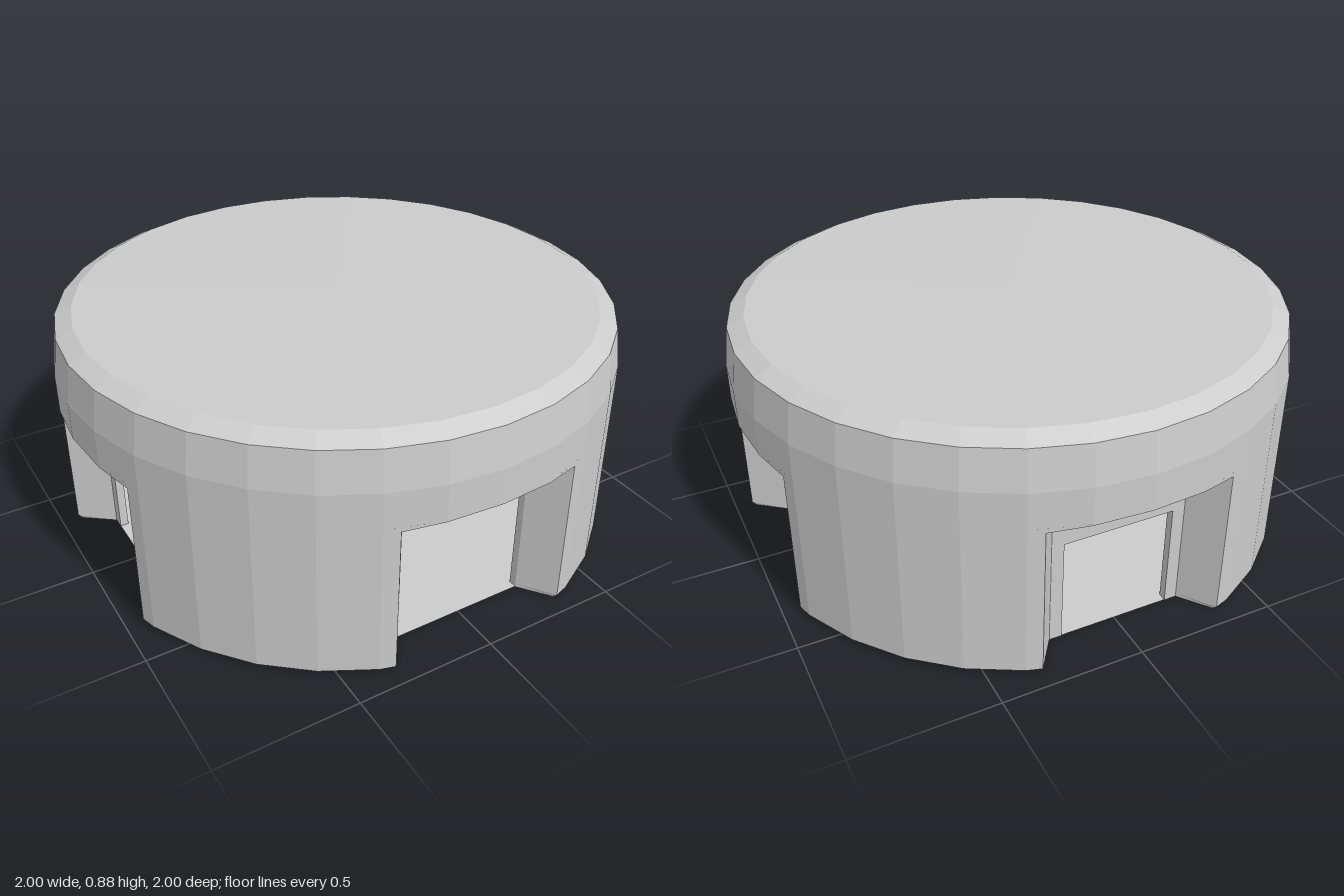
import * as THREE from 'three';

const SIDES = 32, NOTCH_TOP = 0.57, CEILING = 0.52;

export function createModel() {
  const group = new THREE.Group();
  const material = new THREE.MeshStandardMaterial({ color: 0xcccccc, flatShading: true });
  const thin = material.clone();
  thin.side = THREE.DoubleSide;

  const add = (name, geometry, mat = material, turn = 0) => {
    const mesh = new THREE.Mesh(geometry, mat);
    mesh.name = name;
    mesh.rotation.y = turn * Math.PI / 2;
    group.add(mesh);
  };

  // Plan outline [x, z] raised from y0 to y1
  const outline = (pts) => new THREE.Shape(pts.map(([x, z]) => new THREE.Vector2(x, -z)));
  const prism = (pts, y0, y1) =>
    new THREE.ExtrudeGeometry(outline(pts), { depth: y1 - y0, bevelEnabled: false })
      .rotateX(-Math.PI / 2).translate(0, y0, 0);
  const reshape = (geometry, rule) => {
    const p = geometry.attributes.position, v = new THREE.Vector3();
    for (let i = 0; i < p.count; i++) {
      rule(v.fromBufferAttribute(p, i));
      p.setXYZ(i, v.x, v.y, v.z);
    }
    geometry.computeVertexNormals();
    return geometry;
  };
  const rim = (i) => [Math.sin(i * 2 * Math.PI / SIDES), Math.cos(i * 2 * Math.PI / SIDES)];
  const octagon = (a, b) => [[b, a], [a, b], [a, -b], [b, -a], [-b, -a], [-a, -b], [-a, b], [-b, a]];

  // Shallow domed lid
  const profile = [[1, NOTCH_TOP], [1, 0.7], [0.98, 0.84], [0.92, 0.87], [0, 0.88]];
  add('lid', new THREE.LatheGeometry(profile.map(([r, y]) => new THREE.Vector2(r, y)), SIDES));

  // Four curved corner pillars with a small chamfer at the foot
  const pillar = [[0.33, 0.94]];
  for (let i = 2; i <= 6; i++) pillar.push(rim(i));
  pillar.push([0.94, 0.33], [0.82, 0.245], [0.79, 0.245], [0.79, 0.4], [0.4, 0.79], [0.245, 0.79], [0.245, 0.82]);

  // Wedge that forms the sloping roof of a notch
  const roof = [[-0.245, 0.82], [-0.33, 0.94], rim(-1), rim(0), rim(1), [0.33, 0.94], [0.245, 0.82]];

  // Thin window frame, open at the bottom
  const frame = new THREE.Shape([
    [-0.245, 0], [-0.2, 0], [-0.2, 0.38], [0.2, 0.38], [0.2, 0], [0.245, 0], [0.245, CEILING], [-0.245, CEILING],
  ].map(([x, y]) => new THREE.Vector2(x, y)));

  for (let turn = 0; turn < 4; turn++) {
    add('pillar', prism(pillar, 0.015, NOTCH_TOP), material, turn);
    add('pillarFoot', reshape(prism(pillar, 0, 0.015), (v) => {
      if (v.y < 0.01 && Math.hypot(v.x, v.z) > 0.93) { v.x *= 0.985; v.z *= 0.985; }
    }), material, turn);
    add('notchRoof', reshape(prism(roof, CEILING, NOTCH_TOP), (v) => {
      if (v.y < 0.55) v.y = NOTCH_TOP - 0.28 * (1 - v.z);
    }), material, turn);
    // The front notch is a full opening; the others hold a frame
    if (turn > 0) {
      add('windowFrame', new THREE.ExtrudeGeometry(frame, { depth: 0.03, bevelEnabled: false })
        .translate(0, 0, 0.79), material, turn);
    }
  }

  // Chamber ceiling
  add('chamberCeiling', prism(octagon(0.82, 0.4), CEILING, NOTCH_TOP));

  // Thin floor with a round recess pressed up from below
  const floor = outline(octagon(0.82, 0.4));
  const hole = new THREE.Path();
  hole.setFromPoints(Array.from({ length: 16 }, (_, i) => {
    const a = i * Math.PI / 8;
    return new THREE.Vector2(0.32 * Math.sin(a), 0.32 * Math.cos(a));
  }));
  floor.holes.push(hole);
  add('floor', new THREE.ShapeGeometry(floor).rotateX(-Math.PI / 2).translate(0, 0.002, 0), thin);
  const recess = [[0.32, 0.002], [0.3, 0.015], [0.28, 0.05], [0.26, 0.056], [0, 0.056]];
  add('floorRecess', new THREE.LatheGeometry(recess.map(([r, y]) => new THREE.Vector2(r, y)), 16), thin);

  return group;
}
